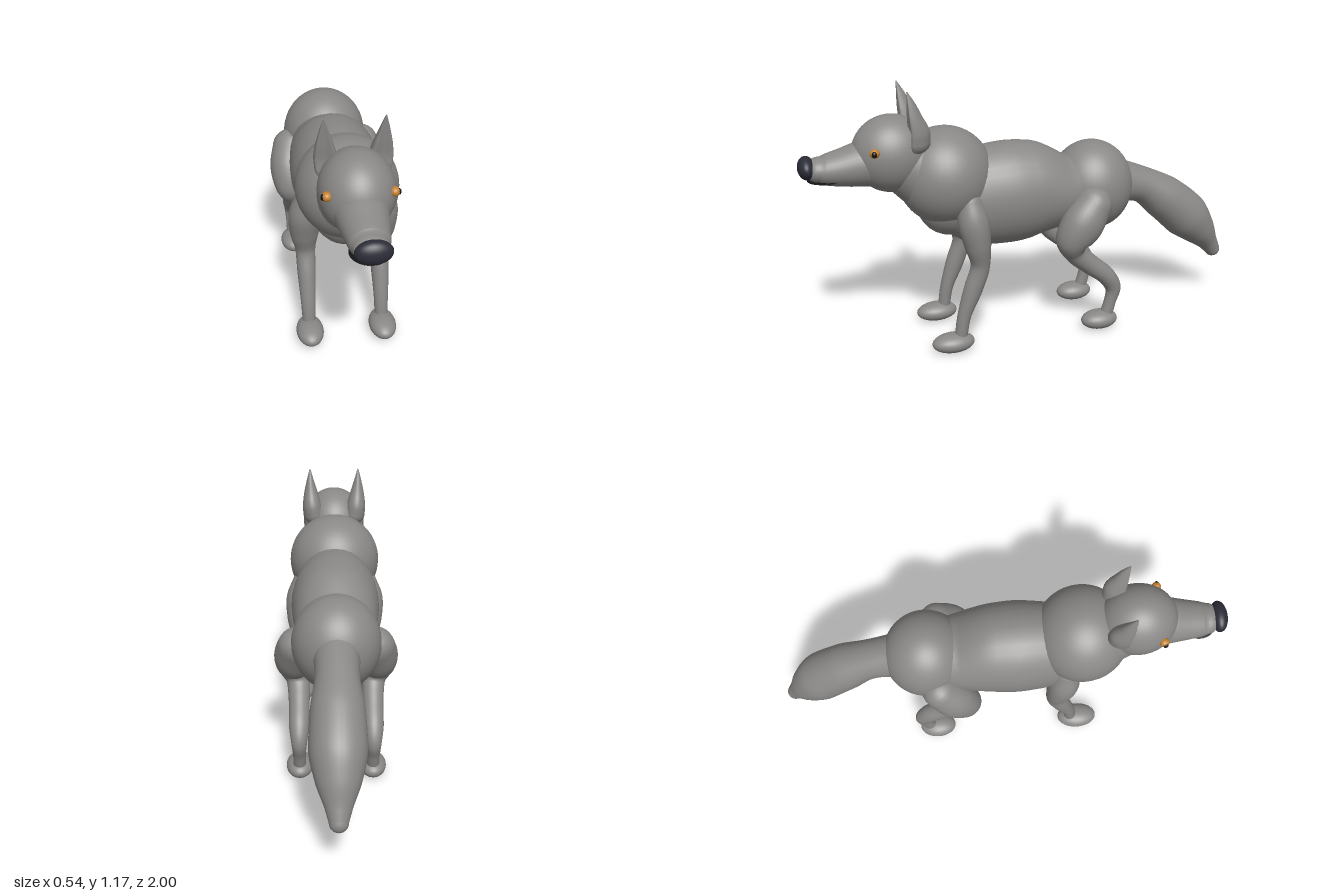
import * as THREE from 'three';

const mat = (name, color, side = THREE.FrontSide) => {
  const m = new THREE.MeshStandardMaterial({ color, side });
  m.name = name;
  return m;
};

// Smooth tube through sections [x, y, z, halfWidth, halfDepth] with rounded ends.
// dent pushes the middle of the underside (N < 0 = +z on upright lofts) inwards.
function loft(sections, { steps = 40, sides = 32, dent = 0 } = {}) {
  const path = new THREE.CatmullRomCurve3(sections.map((s) => new THREE.Vector3(s[0], s[1], s[2])));
  const size = new THREE.CatmullRomCurve3(sections.map((s) => new THREE.Vector3(s[3], s[4], 0)));
  const rings = [];
  const addRing = (t, shift, scale) => {
    const T = path.getTangent(t);
    const s = size.getPoint(t);
    const c = path.getPoint(t).addScaledVector(T, shift * Math.min(s.x, s.y));
    rings.push({ c, T, rx: s.x * scale, ry: s.y * scale });
  };
  const caps = 7;
  for (let i = 0; i < caps; i++) {
    const a = (1 - i / caps) * Math.PI / 2;
    addRing(0, -Math.sin(a), Math.max(Math.cos(a), 0.001));
  }
  for (let i = 0; i <= steps; i++) addRing(i / steps, 0, 1);
  for (let i = 1; i <= caps; i++) {
    const a = (i / caps) * Math.PI / 2;
    addRing(1, Math.sin(a), Math.max(Math.cos(a), 0.001));
  }

  const pos = [];
  const index = [];
  rings.forEach(({ c, T, rx, ry }, i) => {
    const N = new THREE.Vector3().crossVectors(T, new THREE.Vector3(1, 0, 0)).normalize();
    const X = new THREE.Vector3().crossVectors(N, T).normalize();
    for (let j = 0; j < sides; j++) {
      const a = (j / sides) * Math.PI * 2;
      let n = Math.sin(a);
      if (n < 0) n += dent * n * n;
      const p = c.clone().addScaledVector(X, Math.cos(a) * rx).addScaledVector(N, n * ry);
      pos.push(p.x, p.y, p.z);
      if (i < rings.length - 1) {
        const k = (j + 1) % sides;
        const A = i * sides + j, B = i * sides + k;
        index.push(A, B, A + sides, B, B + sides, A + sides);
      }
    }
  });
  const g = new THREE.BufferGeometry();
  g.setAttribute('position', new THREE.Float32BufferAttribute(pos, 3));
  g.setIndex(index);
  g.computeVertexNormals();
  return g;
}

const ellipsoid = (rx, ry, rz) => new THREE.SphereGeometry(1, 40, 28).scale(rx, ry, rz);

export function createModel() {
  const fur = mat('grey fur', 0x8a8886);
  const dark = mat('dark nose', 0x2c2d38);
  const amber = mat('amber eye', 0xc4822e);
  const black = mat('black', 0x141416);

  const model = new THREE.Group();
  model.name = 'wildCanine';
  const add = (name, geometry, material, x = 0, y = 0, z = 0) => {
    const m = new THREE.Mesh(geometry, material);
    m.name = name;
    m.position.set(x, y, z);
    model.add(m);
    return m;
  };

  // Trunk
  add('torso', loft([
    [0, 0.67, 0.37, 0.15, 0.165],
    [0, 0.665, 0.25, 0.185, 0.222],
    [0, 0.67, 0.1, 0.2, 0.232],
    [0, 0.67, 0, 0.195, 0.222],
    [0, 0.655, -0.15, 0.175, 0.168],
    [0, 0.66, -0.25, 0.15, 0.15],
  ]), fur);
  add('chest', ellipsoid(0.212, 0.215, 0.21), fur, 0, 0.777, 0.385);
  add('hips', ellipsoid(0.19, 0.208, 0.19), fur, 0, 0.662, -0.3);
  add('neck', loft([
    [0, 0.77, 0.42, 0.17, 0.17],
    [0, 0.82, 0.5, 0.15, 0.155],
    [0, 0.87, 0.58, 0.13, 0.13],
  ]), fur);

  // Tail
  add('tail', loft([
    [0, 0.67, -0.4, 0.1, 0.11],
    [0, 0.635, -0.55, 0.09, 0.085],
    [0, 0.56, -0.67, 0.108, 0.105],
    [0, 0.46, -0.79, 0.114, 0.113],
    [0, 0.365, -0.88, 0.088, 0.083],
    [0, 0.295, -0.935, 0.054, 0.05],
    [0, 0.25, -0.966, 0.038, 0.038],
  ]), fur);

  // Head
  add('head', ellipsoid(0.15, 0.166, 0.17), fur, 0, 0.896, 0.61);
  add('muzzle', loft([
    [0, 0.87, 0.66, 0.115, 0.11],
    [0, 0.86, 0.75, 0.1, 0.095],
    [0, 0.853, 0.82, 0.089, 0.08],
    [0, 0.85, 0.89, 0.077, 0.064],
    [0, 0.852, 0.915, 0.069, 0.054],
  ]), fur);
  add('nose', ellipsoid(0.07, 0.048, 0.036), dark, 0, 0.865, 0.964);
  add('mouth', ellipsoid(0.075, 0.005, 0.08), black, 0, 0.808, 0.885);

  // Paired parts
  for (const s of [1, -1]) {
    const side = s > 0 ? 'left' : 'right';

    add(side + 'Ear', loft([
      [s * 0.1, 0.96, 0.53, 0.05, 0.066],
      [s * 0.107, 1.0, 0.53, 0.046, 0.064],
      [s * 0.112, 1.06, 0.54, 0.034, 0.046],
      [s * 0.115, 1.12, 0.548, 0.018, 0.027],
      [s * 0.116, 1.173, 0.556, 0.003, 0.004],
    ], { dent: 0.8 }), fur);

    add(side + 'Eye', ellipsoid(0.02, 0.019, 0.021), amber, s * 0.126, 0.935, 0.7);
    add(side + 'Pupil', ellipsoid(0.01, 0.013, 0.011), black, s * 0.14, 0.935, 0.703);

    add(side + 'FrontLeg', loft([
      [s * 0.14, 0.69, 0.315, 0.06, 0.055],
      [s * 0.163, 0.6, 0.305, 0.07, 0.068],
      [s * 0.167, 0.5, 0.29, 0.062, 0.058],
      [s * 0.163, 0.4, 0.28, 0.043, 0.042],
      [s * 0.163, 0.3, 0.312, 0.04, 0.042],
      [s * 0.163, 0.17, 0.358, 0.032, 0.03],
      [s * 0.163, 0.07, 0.375, 0.028, 0.028],
    ]), fur);
    add(side + 'FrontPaw', ellipsoid(0.06, 0.043, 0.095), fur, s * 0.163, 0.048, 0.41);

    add(side + 'HindLeg', loft([
      [s * 0.155, 0.62, -0.245, 0.095, 0.085],
      [s * 0.18, 0.545, -0.19, 0.09, 0.096],
      [s * 0.178, 0.465, -0.145, 0.075, 0.078],
      [s * 0.167, 0.405, -0.16, 0.052, 0.05],
      [s * 0.163, 0.335, -0.235, 0.046, 0.046],
      [s * 0.163, 0.265, -0.318, 0.044, 0.042],
      [s * 0.163, 0.2, -0.355, 0.034, 0.037],
      [s * 0.163, 0.13, -0.342, 0.028, 0.028],
      [s * 0.163, 0.07, -0.325, 0.028, 0.03],
    ], { steps: 56 }), fur);
    add(side + 'HindPaw', ellipsoid(0.06, 0.043, 0.087), fur, s * 0.163, 0.048, -0.29);
  }
  return model;
}
